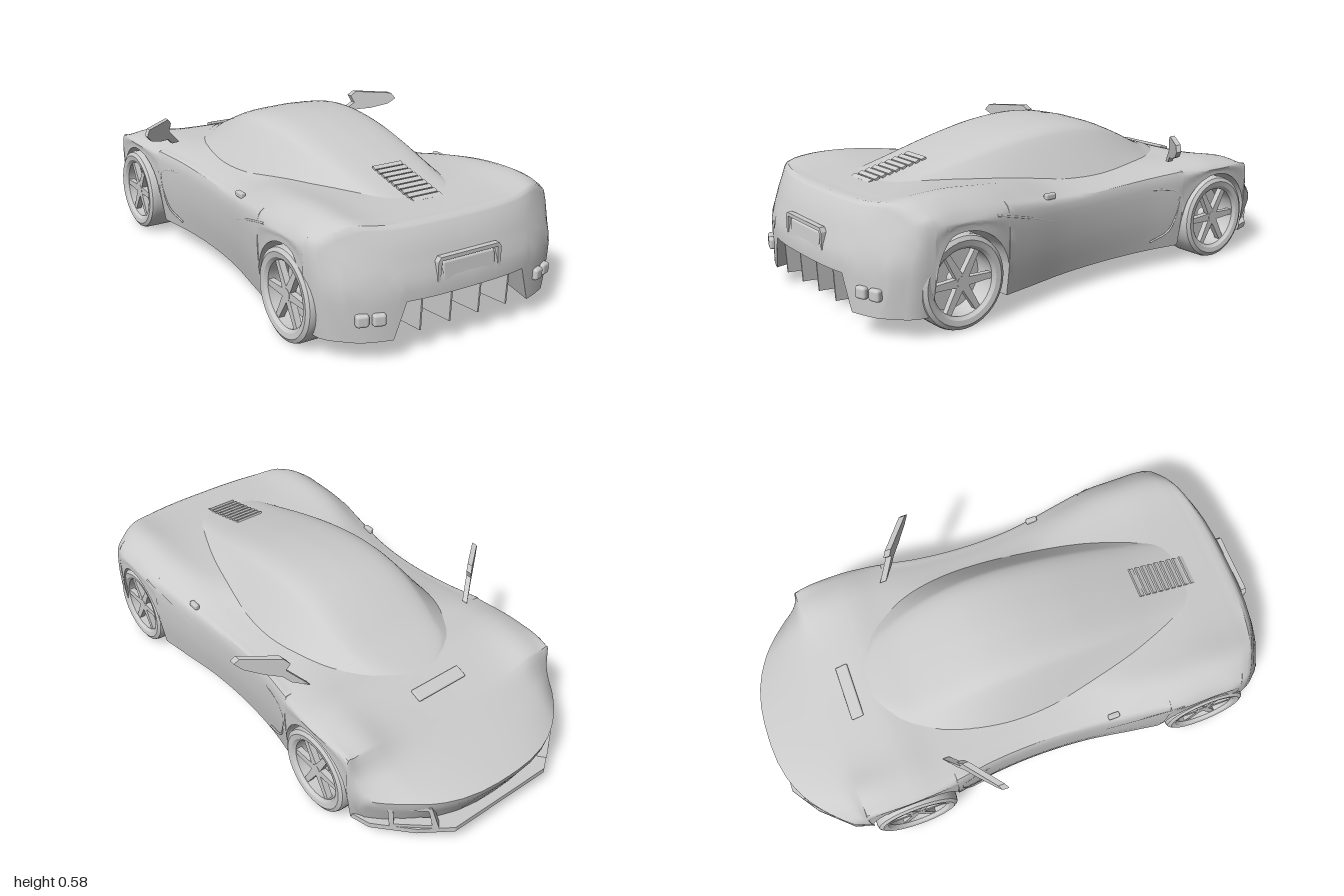
import * as THREE from 'three';
import { toCreasedNormals } from 'three/addons/utils/BufferGeometryUtils.js';
import { RoundedBoxGeometry } from 'three/addons/geometries/RoundedBoxGeometry.js';

const V2 = (x, y) => new THREE.Vector2(x, y);
const clamp = THREE.MathUtils.clamp, lerp = THREE.MathUtils.lerp;
const material = new THREE.MeshStandardMaterial({ color: 0xcccccc, side: THREE.DoubleSide });
const FLOOR = 0.075, WHEEL_R = 0.163, ARCH_R = 0.178, AXLES = [-0.54, 0.675];

function add(parent, name, geometry, pos = [0, 0, 0], rot = [0, 0, 0]) {
  const m = new THREE.Mesh(geometry, material);
  m.name = name;
  m.position.set(...pos);
  m.rotation.set(...rot);
  parent.add(m);
  return m;
}

// Rows of [z, ...values] turned into a smooth function of z
function keyed(rows) {
  const it = new THREE.CubicInterpolant(rows.map(r => r[0]), rows.flatMap(r => r.slice(1)), rows[0].length - 1, []);
  return z => [...it.evaluate(z)];
}

// Surface from a grid of points: rows[i][j] = [x, y, z]
function pushGrid(out, rows, flip = false) {
  for (let i = 0; i + 1 < rows.length; i++) {
    for (let j = 0; j + 1 < rows[i].length; j++) {
      const a = rows[i][j], b = rows[i][j + 1], c = rows[i + 1][j + 1], d = rows[i + 1][j];
      out.push(...(flip ? [a, c, b, a, d, c] : [a, b, c, a, c, d]).flat());
    }
  }
}
function surface(out, crease) {
  const g = new THREE.BufferGeometry();
  g.setAttribute('position', new THREE.Float32BufferAttribute(out, 3));
  return toCreasedNormals(g, crease);
}
// Half profile from the bottom centre up to the top centre, completed on the other side
const mirrorLoop = half => [...half, ...half.slice(0, -1).reverse().map(p => V2(-p.x, p.y))];

// Body: z, half width, sill half width, side top, fender top, deck height
const bodyKeys = keyed([
  [-1, 0.455, 0.43, 0.2, 0.21, 0.205], [-0.9, 0.465, 0.44, 0.235, 0.255, 0.25],
  [-0.8, 0.475, 0.455, 0.28, 0.3, 0.293], [-0.72, 0.482, 0.465, 0.345, 0.36, 0.33],
  [-0.54, 0.49, 0.47, 0.365, 0.4, 0.395], [-0.4, 0.48, 0.46, 0.362, 0.395, 0.4],
  [-0.2, 0.45, 0.43, 0.35, 0.39, 0.408], [0, 0.44, 0.42, 0.34, 0.385, 0.41],
  [0.2, 0.45, 0.43, 0.34, 0.39, 0.415], [0.4, 0.48, 0.46, 0.355, 0.425, 0.425],
  [0.55, 0.5, 0.48, 0.37, 0.445, 0.433], [0.675, 0.5, 0.48, 0.375, 0.455, 0.435],
  [0.8, 0.5, 0.48, 0.375, 0.452, 0.43], [0.9, 0.49, 0.475, 0.368, 0.442, 0.425],
  [0.96, 0.475, 0.455, 0.355, 0.427, 0.42], [1, 0.43, 0.385, 0.325, 0.378, 0.372],
]);

// Rounds the nose and tail in plan and rakes them in profile
function bend(x, y, z) {
  const ax = Math.abs(x), r = clamp((z - 0.72) / 0.28, 0, 1), f = clamp((-z - 0.72) / 0.28, 0, 1);
  const tail = 0.1 * r * (ax / 0.45) ** 3 + r ** 4 * 0.35 * Math.max(0, y - 0.25);
  const nose = f * (0.22 * (ax / 0.46) ** 2.6 + 0.5 * Math.max(0, 0.19 - y));
  return [x, y, z - tail + nose];
}

function bodySection(z) {
  const [w, b, s, f, d] = bodyKeys(z);
  let arch = FLOOR;
  for (const c of AXLES) if (Math.abs(z - c) <= ARCH_R) arch = WHEEL_R + Math.sqrt(ARCH_R ** 2 - (z - c) ** 2);
  const ramp = clamp((z - 0.78) / 0.22, 0, 1), inner = lerp(0.33, 0.28, ramp);
  const low = [V2(0, FLOOR + 0.125 * ramp), V2(inner - 0.04 * ramp, FLOOR + 0.125 * ramp), V2(inner, arch === FLOOR ? FLOOR : arch)];
  if (arch !== FLOOR) low[1].set(inner, FLOOR + 0.125 * ramp);
  const upper = new THREE.SplineCurve([
    V2(lerp(b, w, clamp((arch - FLOOR) / 0.12, 0, 1)), arch), V2(w, lerp(arch, s, 0.5)), V2(w, s),
    V2(w - 0.035, lerp(s, f, 0.55)), V2(w - 0.11, f), V2(0.25, lerp(d, f, 0.2)), V2(0, d),
  ]).getPoints(24);
  return { low, upper };
}

// End panel spanning the lower and upper edges of a section
function pushCap(out, z) {
  const { low, upper } = bodySection(z), chain = [...low, upper[0]], top = [...upper].reverse();
  const lowAt = k => k <= 4 ? low[0].clone().lerp(chain[1], k / 4)
    : k <= 8 ? chain[1].clone().lerp(chain[2], (k - 4) / 4) : chain[2].clone().lerp(chain[3], (k - 8) / 16);
  const cols = top.map((t, k) => [0, 0.2, 0.4, 0.6, 0.8, 1].map(v => lowAt(k).lerp(t, v)));
  for (const side of [1, -1]) {
    pushGrid(out, cols.map(c => c.map(p => bend(p.x * side, p.y, z))), z * side > 0);
  }
}

function bodyGeometry() {
  const zs = Array.from({ length: 61 }, (_, i) => -1 + i / 30);
  for (const c of AXLES) {
    for (let i = 0; i <= 18; i++) zs.push(c + ARCH_R * 0.99999 * Math.cos(i * Math.PI / 18));
    zs.push(c - ARCH_R - 0.001, c + ARCH_R + 0.001);
  }
  zs.push(0.96, 0.98);
  zs.sort((a, b) => a - b);
  const out = [];
  pushGrid(out, zs.map(z => {
    const { low, upper } = bodySection(z);
    return mirrorLoop([...low, ...upper]).map(p => bend(p.x, p.y, z));
  }));
  pushCap(out, -1);
  pushCap(out, 1);
  return surface(out, 0.55);
}

// Canopy: z, base half width, base height, roof height
function canopyGeometry() {
  const keys = keyed([
    [-0.555, 0.12, 0.37, 0.393], [-0.5, 0.225, 0.37, 0.413], [-0.4, 0.285, 0.375, 0.443], [-0.3, 0.315, 0.38, 0.493],
    [-0.15, 0.33, 0.385, 0.555], [0, 0.33, 0.385, 0.575], [0.2, 0.315, 0.385, 0.56], [0.4, 0.29, 0.39, 0.517],
    [0.6, 0.25, 0.39, 0.465], [0.8, 0.2, 0.39, 0.42],
  ]);
  const rows = [];
  for (let i = 0; i <= 40; i++) {
    const z = lerp(-0.555, 0.8, i / 40), [w, y, top] = keys(z);
    const curve = new THREE.SplineCurve([[1, 0], [0.88, 0.29], [0.7, 0.71], [0.6, 0.87], [0.4, 0.965], [0, 1]]
      .map(([u, v]) => V2(w * u, lerp(y, top, v))));
    rows.push(mirrorLoop([V2(0, y), ...curve.getPoints(15)]).map(p => [p.x, p.y, z]));
  }
  const out = [];
  pushGrid(out, rows);
  return surface(out, 0.6);
}

function extrude(points, depth, hole) {
  const shape = new THREE.Shape(points.map(p => V2(...p)));
  if (hole) shape.holes.push(new THREE.Path(hole.map(p => V2(...p))));
  return new THREE.ExtrudeGeometry(shape, { depth, bevelEnabled: false });
}

// Wheel with its outer face towards +x
function wheel() {
  const g = new THREE.Group(), R = WHEEL_R, h = 0.0725;
  const lathe = pts => new THREE.LatheGeometry(pts.map(p => V2(...p)), 40).rotateZ(-Math.PI / 2);
  add(g, 'tire', toCreasedNormals(lathe([[0.125, -h], [R - 0.018, -h], [R - 0.004, -h + 0.008], [R, -h + 0.022],
    [R, h - 0.022], [R - 0.004, h - 0.008], [R - 0.018, h], [0.125, h - 0.004]]), 0.7));
  add(g, 'rim', toCreasedNormals(lathe([[0, -0.02], [0.115, -0.02], [0.115, h - 0.014], [0.126, h - 0.003]]), 0.5));
  add(g, 'hub', new THREE.CylinderGeometry(0.022, 0.026, 0.06, 18).rotateZ(-Math.PI / 2), [h - 0.045, 0, 0]);
  for (let i = 0; i < 6; i++) {
    const spoke = extrude([[-0.015, 0.01], [0.015, 0.01], [0.01, 0.118], [-0.01, 0.118]], 0.022).rotateY(Math.PI / 2);
    add(g, 'spoke', spoke, [h - 0.038, 0, 0], [i * Math.PI / 3 + Math.PI / 6, 0, 0]);
  }
  return g;
}

export function createModel() {
  const car = new THREE.Group();
  car.name = 'sportsCar';
  add(car, 'body', bodyGeometry());
  add(car, 'canopy', canopyGeometry());

  for (const z of AXLES) for (const s of [1, -1]) {
    const w = wheel();
    w.name = z < 0 ? 'frontWheel' : 'rearWheel';
    w.position.set(s * 0.4275 - 0.008, WHEEL_R, z);
    if (s < 0) w.rotation.y = Math.PI;
    car.add(w);
  }

  // Front splitter, drawn in plan and laid flat
  const edge = [[0.22, -0.985], [0.33, -0.91], [0.44, -0.79], [0.46, -0.72]];
  const plan = [...edge, ...edge.map(([x, z]) => [-x, z]).reverse()];
  add(car, 'splitter', extrude(plan, 0.02).rotateX(Math.PI / 2), [0, 0.087, 0]);
  add(car, 'hoodVent', new RoundedBoxGeometry(0.22, 0.012, 0.05, 2, 0.005), [0, 0.373, -0.635], [-0.32, 0, 0]);

  // Engine louvers
  for (let i = 0; i < 9; i++) {
    const t = i / 8;
    add(car, 'louver', new THREE.BoxGeometry(0.12, 0.008, 0.018), [0, lerp(0.481, 0.432, t), lerp(0.545, 0.765, t)], [0.45, 0, 0]);
  }

  // Tail: plate surround, plate and diffuser fins
  add(car, 'plateSurround', extrude([[-0.13, 0.23], [0.13, 0.23], [0.13, 0.31], [0.12, 0.325], [-0.12, 0.325], [-0.13, 0.31]], 0.02,
    [[-0.12, 0.235], [-0.115, 0.312], [0.115, 0.312], [0.12, 0.235]]), [0, 0, 0.976]);
  add(car, 'plate', new RoundedBoxGeometry(0.215, 0.068, 0.018, 2, 0.008), [0, 0.272, 0.985], [-0.1, 0, 0]);
  for (const x of [-0.18, -0.06, 0.06, 0.18]) {
    add(car, 'diffuserFin', extrude([[0.78, 0.07], [0.98, 0.085], [0.985, 0.2], [0.96, 0.2]], 0.006).rotateY(-Math.PI / 2), [x + 0.003, 0, 0]);
  }

  const mirrorOutline = [[0.38, 0.4], [0.43, 0.41], [0.455, 0.435], [0.5, 0.443], [0.56, 0.465], [0.585, 0.49],
    [0.57, 0.513], [0.45, 0.515], [0.432, 0.495], [0.445, 0.465]];
  for (const s of [1, -1]) {
    // Side mirror, swept back as it reaches outwards
    const outline = mirrorOutline.map(([x, y]) => [x * s, y]);
    const mirror = extrude(outline, 0.025);
    const p = mirror.attributes.position;
    for (let i = 0; i < p.count; i++) p.setZ(i, p.getZ(i) - 0.37 + (Math.abs(p.getX(i)) - 0.4) * 0.8);
    mirror.computeVertexNormals();
    add(car, 'sideMirror', mirror);

    // Twin exhausts
    for (const x of [0.327, 0.377]) {
      const z = bend(x, 0.15, 1)[2];
      add(car, 'exhaust', new RoundedBoxGeometry(0.044, 0.042, 0.05, 2, 0.01), [s * x, 0.155, z - 0.008], [0, s * 0.3, 0]);
    }

    // Corner intake frame between splitter and nose
    add(car, 'intakeFrame', extrude([[-0.09, 0], [0.08, 0], [0.09, 0.1], [-0.06, 0.1]].map(([x, y]) => [x * s, y]), 0.035,
      [[-0.065, 0.015], [0.065, 0.015], [0.07, 0.085], [-0.05, 0.085]].map(([x, y]) => [x * s, y])),
    [s * 0.335, 0.085, -0.895], [0, -s * 0.72, 0]);

    // Door handle and creases that follow the flank
    add(car, 'doorHandle', new RoundedBoxGeometry(0.02, 0.022, 0.045, 2, 0.006), [s * 0.442, 0.378, 0.28]);
    const flank = (name, pts) => add(car, name, new THREE.TubeGeometry(new THREE.CatmullRomCurve3(
      pts.map(([z, y]) => new THREE.Vector3(s * (bodyKeys(z)[0] - Math.max(0, 0.2 - y) * 0.1), y, z))), 24, 0.004, 6));
    flank('intakeCrease', [[0.55, 0.37], [0.4, 0.33], [0.25, 0.28]]);
    flank('doorVentCrease', [[-0.22, 0.32], [-0.32, 0.305], [-0.345, 0.28], [-0.31, 0.15], [-0.22, 0.11]]);
  }
  return car;
}
